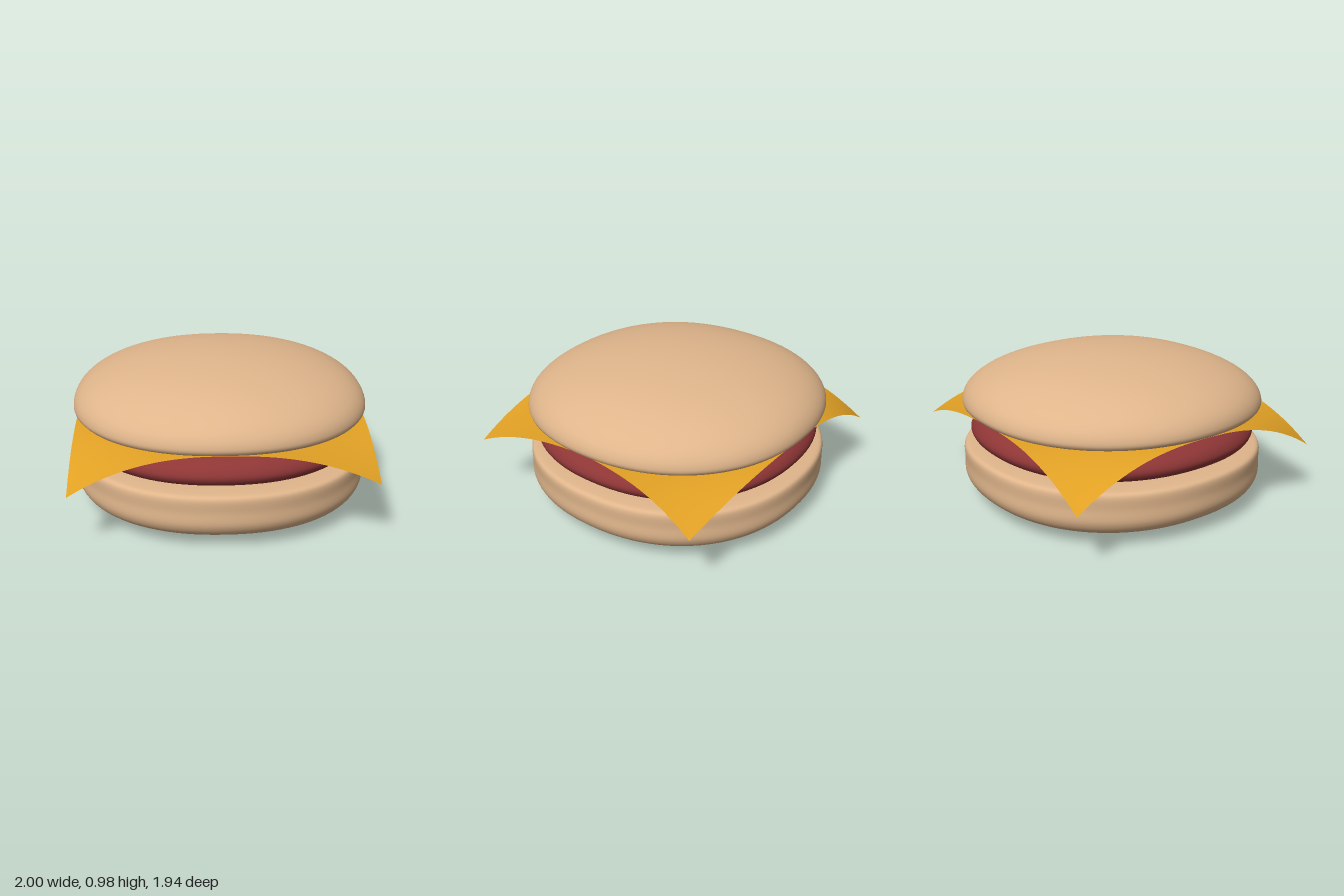
import * as THREE from 'three';

const CENTER_X = -0.03;

// Lathe a smooth profile, then square its outline slightly (superellipse of power n)
function roundLayer(name, profile, color, n = 2.2) {
  const geometry = new THREE.LatheGeometry(profile.map(([r, y]) => new THREE.Vector2(r, y)), 96);
  const p = geometry.attributes.position;
  for (let i = 0; i < p.count; i++) {
    const x = p.getX(i), z = p.getZ(i), r = Math.hypot(x, z);
    if (r < 1e-6) continue;
    const k = Math.pow(Math.abs(x / r) ** n + Math.abs(z / r) ** n, -1 / n);
    p.setX(i, x * k);
    p.setZ(i, z * k);
  }
  const mesh = new THREE.Mesh(geometry, new THREE.MeshStandardMaterial({ color, side: THREE.DoubleSide }));
  mesh.name = name;
  mesh.position.x = CENTER_X;
  return mesh;
}

// Smooth curve through profile points, bottom centre to top centre
function smoothProfile(points, count = 60) {
  const curve = new THREE.CatmullRomCurve3(points.map(([r, y]) => new THREE.Vector3(r, y, 0)), false, 'centripetal');
  return curve.getPoints(count).map((v) => [Math.max(v.x, 0), v.y]);
}

// Square slice: flat middle, drooping corners, one back corner curled outward
function cheeseSlice() {
  const half = 0.93;
  const geometry = new THREE.PlaneGeometry(2, 2, 48, 48).rotateX(-Math.PI / 2);
  const p = geometry.attributes.position;
  for (let i = 0; i < p.count; i++) {
    const u = p.getX(i), v = p.getZ(i);
    const droop = Math.pow(Math.abs(u * v), 2.4);
    const right = Math.max(u, 0), back = Math.max(-v, 0);
    const depth = u < 0 ? 0.25 : 0.2;
    p.setXYZ(i,
      u * half + 0.1 * right * right * back,
      0.615 - depth * droop,
      v * half + 0.1 * right * right * back * back);
  }
  geometry.computeVertexNormals();
  const mesh = new THREE.Mesh(geometry, new THREE.MeshStandardMaterial({ color: 0xe0a024, side: THREE.DoubleSide }));
  mesh.name = 'cheeseSlice';
  mesh.position.x = CENTER_X;
  return mesh;
}

export function createModel() {
  const group = new THREE.Group();
  group.name = 'burger';
  const bun = 0xdfb58b;

  // Bottom bun: rounded underneath, upright wall, small top edge
  group.add(roundLayer('bottomBun', smoothProfile([
    [0, 0], [0.4, 0.008], [0.66, 0.025], [0.83, 0.055], [0.93, 0.105], [0.968, 0.17],
    [0.968, 0.26], [0.968, 0.34], [0.955, 0.36], [0.9, 0.37], [0.5, 0.375], [0, 0.375],
  ]), bun));

  // Meat patty
  group.add(roundLayer('patty', smoothProfile([
    [0, 0.376], [0.6, 0.378], [0.8, 0.385], [0.89, 0.41], [0.92, 0.46],
    [0.9, 0.51], [0.84, 0.553], [0.72, 0.578], [0.5, 0.587], [0, 0.59],
  ]), 0x8f3636));

  // Thin pale slice between patty and cheese
  group.add(roundLayer('onionSlice', [
    [0, 0.59], [0.86, 0.59], [0.87, 0.597], [0.86, 0.604], [0, 0.604],
  ], 0xcccccc, 2));

  group.add(cheeseSlice());

  // Top bun: flat base, rounded rim, domed crown
  const dome = [[0, 0.62], [0.8, 0.62], [0.92, 0.621], [0.95, 0.626], [0.963, 0.64]];
  for (let i = 0; i <= 40; i++) {
    const a = (i / 40) * Math.PI / 2;
    dome.push([0.968 * Math.cos(a), 0.655 + 0.328 * Math.sin(a)]);
  }
  group.add(roundLayer('topBun', dome, bun));

  return group;
}
